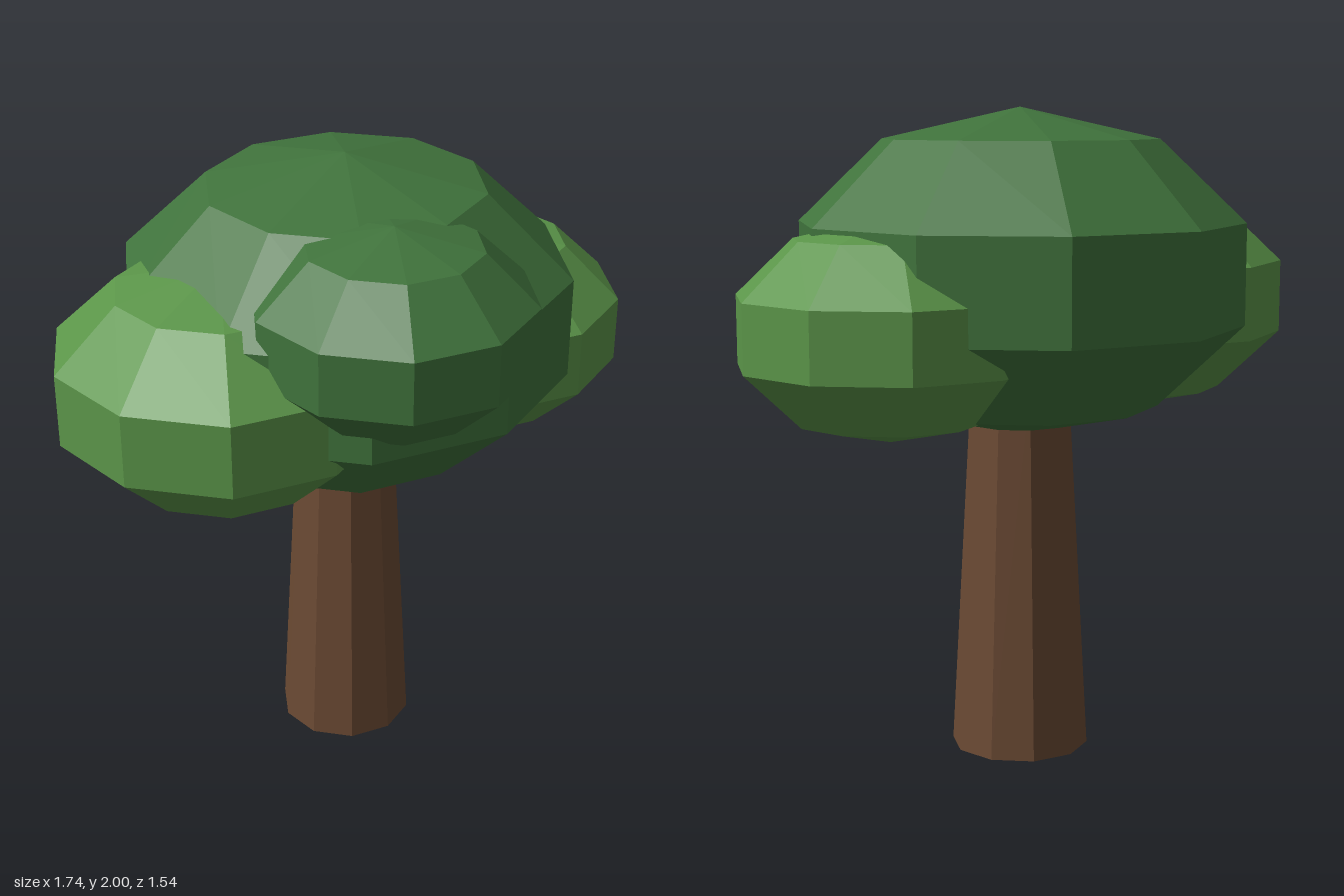
import * as THREE from 'three';

const SIDES = 10;

function makeMaterial(name, color) {
  const material = new THREE.MeshStandardMaterial({ color });
  material.name = name;
  return material;
}

// Faceted geometry: every face gets its own flat normal
function faceted(geometry) {
  const flat = geometry.toNonIndexed();
  flat.computeVertexNormals();
  return flat;
}

export function createModel() {
  const bark = makeMaterial('bark brown', 0x6b4a33);
  const darkLeaf = makeMaterial('dark leaf green', 0x40733c);
  const lightLeaf = makeMaterial('light leaf green', 0x5b9549);
  const tree = new THREE.Group();
  tree.name = 'tree';

  // Tapered ten-sided trunk, its top hidden in the crown
  const height = 1.15;
  const trunk = new THREE.Mesh(faceted(new THREE.CylinderGeometry(0.153, 0.215, height, SIDES)), bark);
  trunk.name = 'trunk';
  trunk.position.set(0, height / 2, -0.08);
  tree.add(trunk);

  // Flattened low-poly balls of foliage: centre, horizontal and vertical radius
  const foliage = [
    ['mainCrown', darkLeaf, [0, 1.498, -0.08], 0.725, 0.502],
    ['frontClump', darkLeaf, [0.09, 1.643, 0.35], 0.437, 0.302],
    ['rightClump', lightLeaf, [-0.39, 1.402, 0.155], 0.531, 0.366],
    ['leftClump', lightLeaf, [0.432, 1.352, -0.275], 0.483, 0.333],
  ];
  for (const [name, material, centre, wide, high] of foliage) {
    const ball = new THREE.SphereGeometry(1, SIDES, 5);
    ball.rotateY(Math.PI / 2).scale(wide, high, wide);
    const clump = new THREE.Mesh(faceted(ball), material);
    clump.name = name;
    clump.position.set(...centre);
    tree.add(clump);
  }
  return tree;
}
